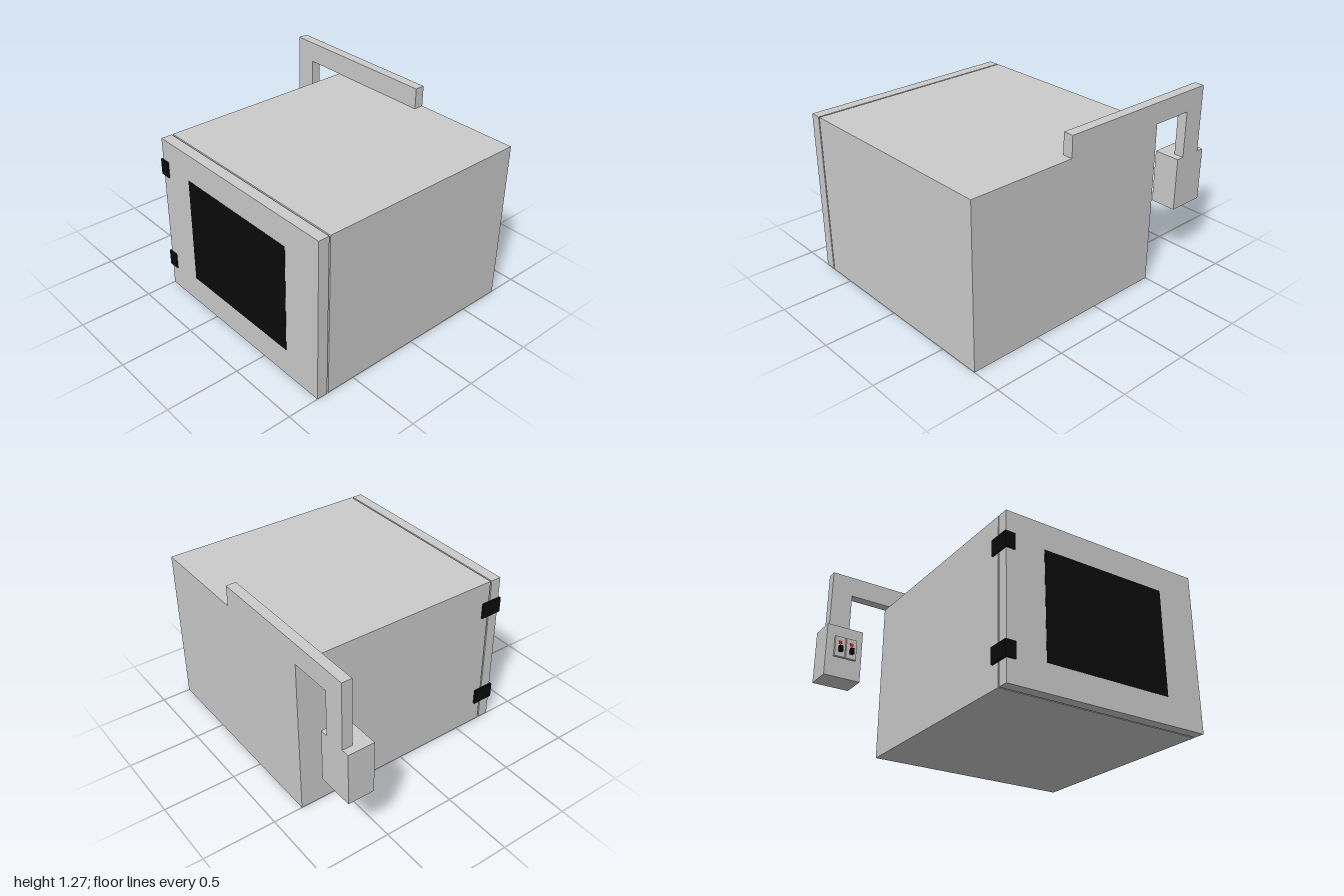
import * as THREE from 'three';

const grey = new THREE.MeshStandardMaterial({ color: 0xcccccc });
const black = new THREE.MeshStandardMaterial({ color: 0x0a0a0a });
const red = new THREE.MeshStandardMaterial({ color: 0xdd2222 });

// Box given by its limits on each axis
function box(name, [x0, x1], [y0, y1], [z0, z1], material = grey) {
  const mesh = new THREE.Mesh(new THREE.BoxGeometry(x1 - x0, y1 - y0, z1 - z0), material);
  mesh.position.set((x0 + x1) / 2, (y0 + y1) / 2, (z0 + z1) / 2);
  mesh.name = name;
  return mesh;
}

// Hinge: side plate with a front flange and a flange in the door gap
function hinge(y0) {
  const group = new THREE.Group();
  group.name = 'hinge';
  const y = [y0, y0 + 0.11];
  group.add(
    box('hingeSidePlate', [-0.513, -0.5], y, [0.645, 0.795], black),
    box('hingeFrontFlange', [-0.513, -0.44], y, [0.785, 0.795], black),
    box('hingeGapFlange', [-0.5, -0.44], y, [0.7, 0.71], black)
  );
  return group;
}

// Switch: raised plate, indicator light and rocker
function switchUnit(x) {
  const group = new THREE.Group();
  group.name = 'switch';
  group.add(
    box('switchPlate', [x - 0.037, x + 0.037], [0.577, 0.722], [-0.612, -0.592]),
    box('indicatorLight', [x - 0.012, x + 0.012], [0.67, 0.692], [-0.6, -0.59], red),
    box('switchRocker', [x - 0.012, x + 0.012], [0.61, 0.65], [-0.592, -0.566], black)
  );
  return group;
}

export function createModel() {
  const model = new THREE.Group();
  model.name = 'chamberOven';

  // Main chamber and door
  model.add(
    box('body', [-0.5, 1], [0, 1.125], [-0.795, 0.7]),
    box('door', [-0.5, 1], [0, 1.125], [0.71, 0.785]),
    box('windowBacking', [-0.22, 0.717], [0.19, 0.94], [0.7, 0.71]),
    box('window', [-0.22, 0.717], [0.19, 0.94], [0.78, 0.787], black)
  );
  for (const y of [0.155, 0.865]) model.add(hinge(y));

  // Angled arm along the rear top edge
  const arm = new THREE.Shape([
    [-0.945, 0.805], [-0.795, 0.805], [-0.795, 1.125],
    [0.25, 1.125], [0.25, 1.27], [-0.945, 1.27],
  ].map(([x, y]) => new THREE.Vector2(x, y)));
  const armMesh = new THREE.Mesh(
    new THREE.ExtrudeGeometry(arm, { depth: 0.07, bevelEnabled: false }), grey);
  armMesh.position.z = -0.795;
  armMesh.name = 'controlArm';
  model.add(armMesh);

  // Control box with two switches
  model.add(box('controlBox', [-1, -0.742], [0.435, 0.805], [-0.795, -0.612]));
  for (const x of [-0.907, -0.826]) model.add(switchUnit(x));

  return model;
}
